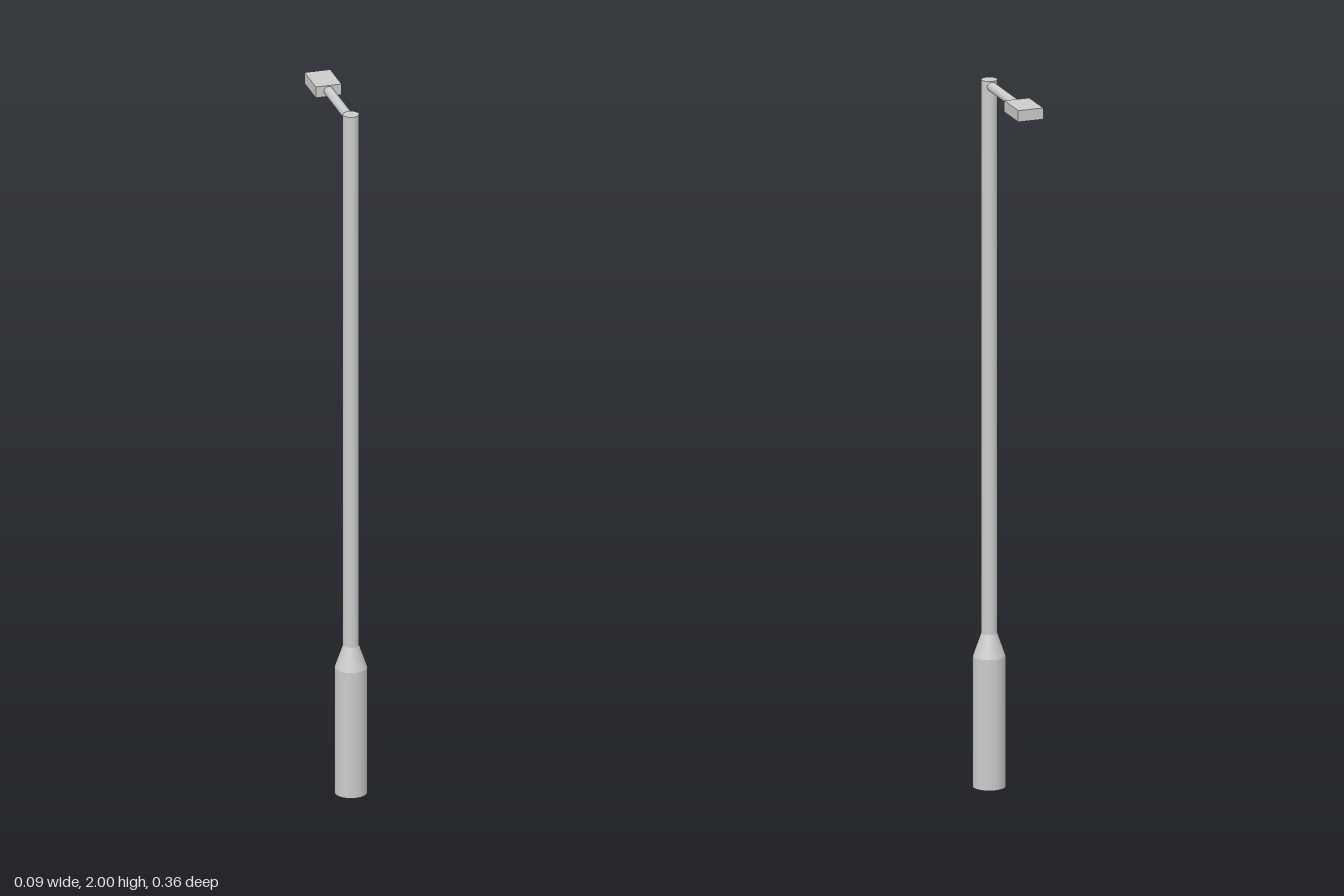
import * as THREE from 'three';

export function createModel() {
  const group = new THREE.Group();
  const material = new THREE.MeshStandardMaterial({ color: 0xcccccc });
  const poleZ = 0.135, poleRadius = 0.0225, baseRadius = 0.045;
  const baseTop = 0.37, collarTop = 0.435, height = 2;
  const armY = 1.984, headFront = -0.074, headBack = -0.18;

  const add = (name, geometry, x, y, z) => {
    const mesh = new THREE.Mesh(geometry, material);
    mesh.name = name;
    mesh.position.set(x, y, z);
    group.add(mesh);
    return mesh;
  };

  // Upright section between two heights, optionally tapered
  const section = (name, y0, y1, rBottom, rTop, open) =>
    add(name, new THREE.CylinderGeometry(rTop, rBottom, y1 - y0, 40, 1, open), 0, (y0 + y1) / 2, poleZ);

  section('base', 0, baseTop, baseRadius, baseRadius, false);
  section('collar', baseTop, collarTop, baseRadius, poleRadius, true);
  section('pole', collarTop, height, poleRadius, poleRadius, false);

  // Horizontal arm reaching back from the pole to the lamp
  const armLength = poleZ - headFront;
  const arm = add('arm', new THREE.CylinderGeometry(0.0134, 0.0134, armLength, 32), 0, armY, (poleZ + headFront) / 2);
  arm.rotation.x = Math.PI / 2;

  // Flat rectangular lamp head
  add('lampHead', new THREE.BoxGeometry(0.073, 0.032, headFront - headBack), 0, armY, (headFront + headBack) / 2);

  return group;
}
